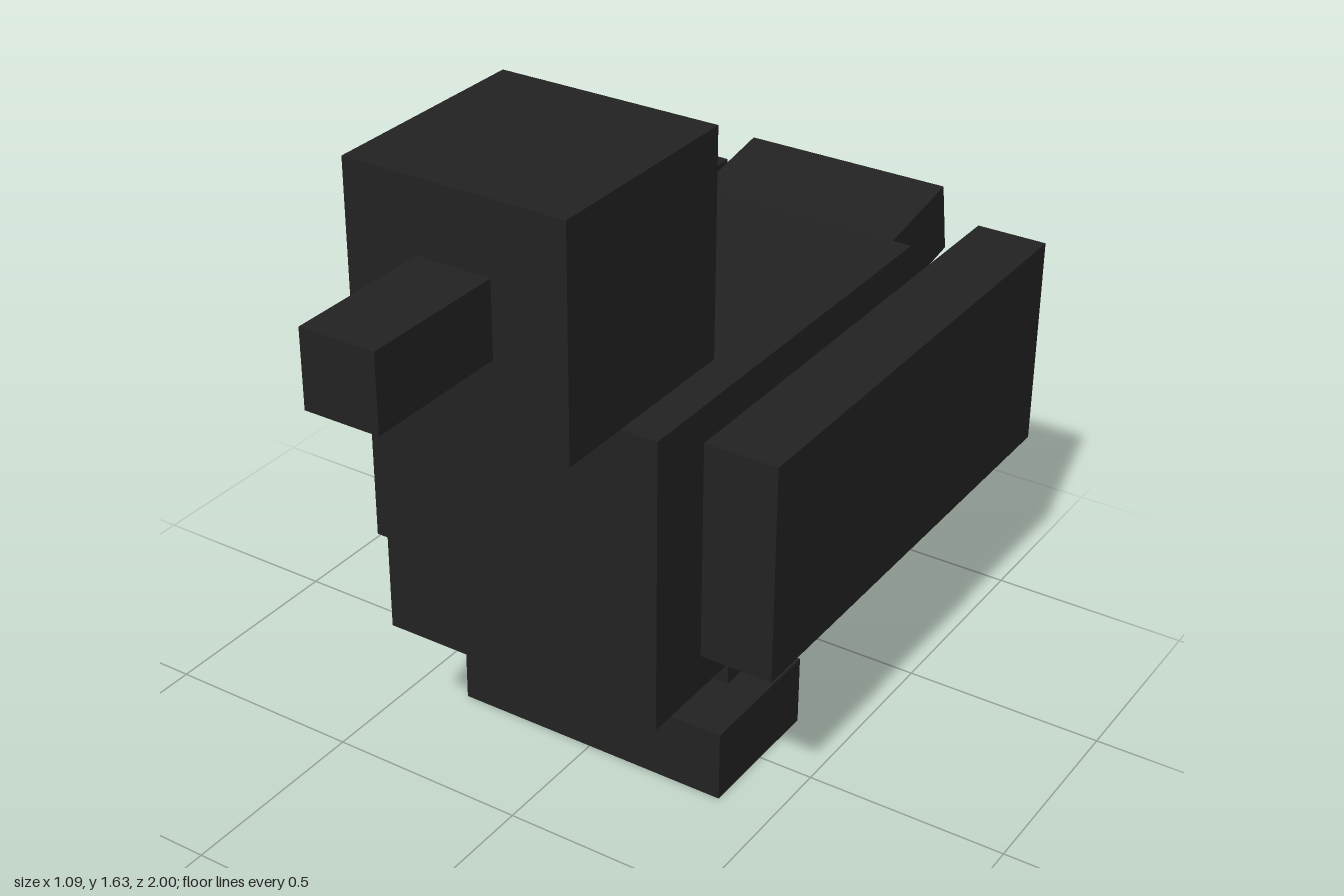
import * as THREE from 'three';

export function createModel() {
  const model = new THREE.Group();
  model.name = 'blockBird';
  const charcoal = new THREE.MeshStandardMaterial({ color: 0x222222, flatShading: true });
  charcoal.name = 'charcoal';

  const block = (name, [w, h, d], [x, y, z]) => {
    const mesh = new THREE.Mesh(new THREE.BoxGeometry(w, h, d), charcoal);
    mesh.name = name;
    mesh.position.set(x, y, z);
    model.add(mesh);
    return mesh;
  };

  // Body, head and beak
  block('body', [0.724, 0.724, 1.086], [0, 0.727, -0.088]);
  block('head', [0.543, 0.543, 0.543], [0, 1.36, 0.365]);
  block('beak', [0.181, 0.181, 0.362], [0, 1.37, 0.819]);

  // Tail, tipped up toward the back
  const tail = block('tail', [0.543, 0.181, 0.45], [0, 0.961, -0.763]);
  tail.rotation.x = THREE.MathUtils.degToRad(10);

  // Wings and legs, mirrored
  for (const [side, s] of [['left', 1], ['right', -1]]) {
    block(side + 'Wing', [0.181, 0.543, 1.267], [s * 0.4525, 0.727, -0.358]);
    block(side + 'Leg', [0.181, 0.184, 0.181], [s * 0.181, 0.273, -0.086]);
  }

  // Joined feet
  block('feet', [0.724, 0.181, 0.362], [0, 0.0905, 0.005]);

  return model;
}
